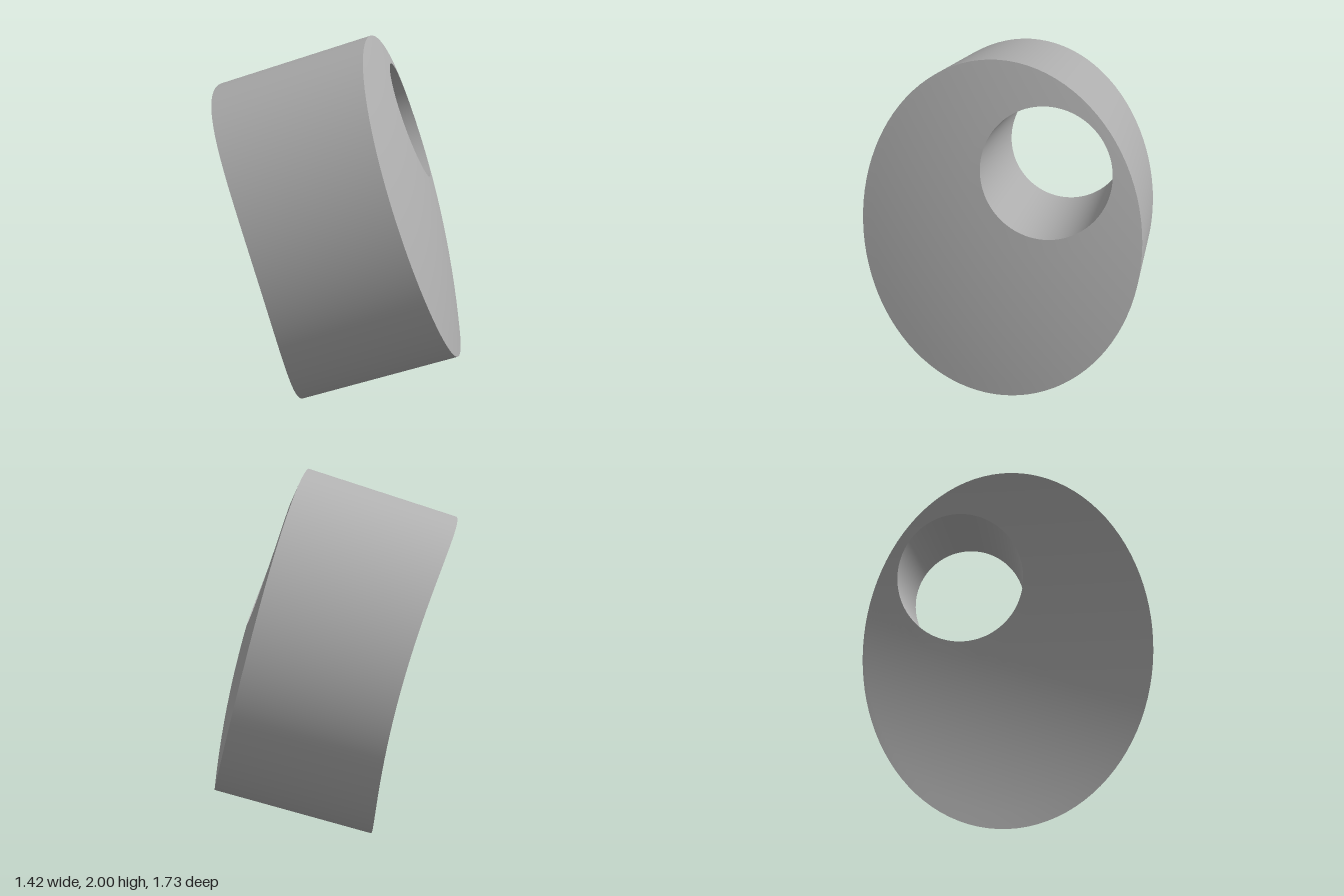
import * as THREE from 'three';

// Oval cross-section, off-centre bore, and the tilted axis they follow
const A = 0.902, B = 0.745, BORE = 0.33, BORE_P = 0.37, BORE_Q = -0.254;
const axis = new THREE.Vector3(0.817, 0.304, -0.488).normalize();
const major = new THREE.Vector3(-0.237, 0.951, 0.196);
major.addScaledVector(axis, -major.dot(axis)).normalize();
const minor = new THREE.Vector3().crossVectors(axis, major);
const origin = new THREE.Vector3(-0.249, 0.924, 0.159);
const SEGMENTS = 96;

// Height of the domed far face and the dished, saddle-edged near face
const domed = (x, y) => 0.70 + 0.01 * x - 0.075 * y - 0.03 * x * y + 0.08 * (1 - x * x - y * y);
const dished = (x, y) =>
  -0.10 + 0.045 * x - 0.06 * y - 0.065 * (x * x - y * y) + 0.12 * (1 - x * x - y * y);

// Points at angle f on the oval rim, the bore rim, or a face between them
function facePoint(height, t, f) {
  const p = THREE.MathUtils.lerp(BORE_P + BORE * Math.cos(f), A * Math.cos(f), t);
  const q = THREE.MathUtils.lerp(BORE_Q + BORE * Math.sin(f), B * Math.sin(f), t);
  return origin.clone()
    .addScaledVector(major, p)
    .addScaledVector(minor, q)
    .addScaledVector(axis, height(p / A, q / B));
}

// Closed band of quads; point(t, f) runs from t = 0 to 1 around angle f
function band(point, steps) {
  const positions = [], index = [];
  for (let i = 0; i <= steps; i++) {
    for (let j = 0; j < SEGMENTS; j++) {
      positions.push(...point(i / steps, (j / SEGMENTS) * Math.PI * 2).toArray());
    }
  }
  for (let i = 0; i < steps; i++) {
    for (let j = 0; j < SEGMENTS; j++) {
      const k = (j + 1) % SEGMENTS;
      const a = i * SEGMENTS + j, b = (i + 1) * SEGMENTS + j;
      const c = (i + 1) * SEGMENTS + k, d = i * SEGMENTS + k;
      index.push(a, b, c, a, c, d);
    }
  }
  const geometry = new THREE.BufferGeometry();
  geometry.setAttribute('position', new THREE.Float32BufferAttribute(positions, 3));
  geometry.setIndex(index);
  geometry.computeVertexNormals();
  return geometry;
}

export function createModel() {
  const group = new THREE.Group();
  group.name = 'boredOvalBlock';
  const grey = new THREE.MeshStandardMaterial({ color: 0xb0b0b0 });
  grey.name = 'grey';

  const add = (name, point, steps) => {
    const mesh = new THREE.Mesh(band(point, steps), grey);
    mesh.name = name;
    group.add(mesh);
  };

  // End faces, each pierced by the bore
  add('domedFace', (t, f) => facePoint(domed, t, f), 12);
  add('dishedFace', (t, f) => facePoint(dished, 1 - t, f), 12);

  // Walls swept straight along the axis
  add('outerWall', (t, f) => facePoint(domed, 1, f).lerp(facePoint(dished, 1, f), t), 1);
  add('boreWall', (t, f) => facePoint(dished, 0, f).lerp(facePoint(domed, 0, f), t), 1);

  return group;
}
